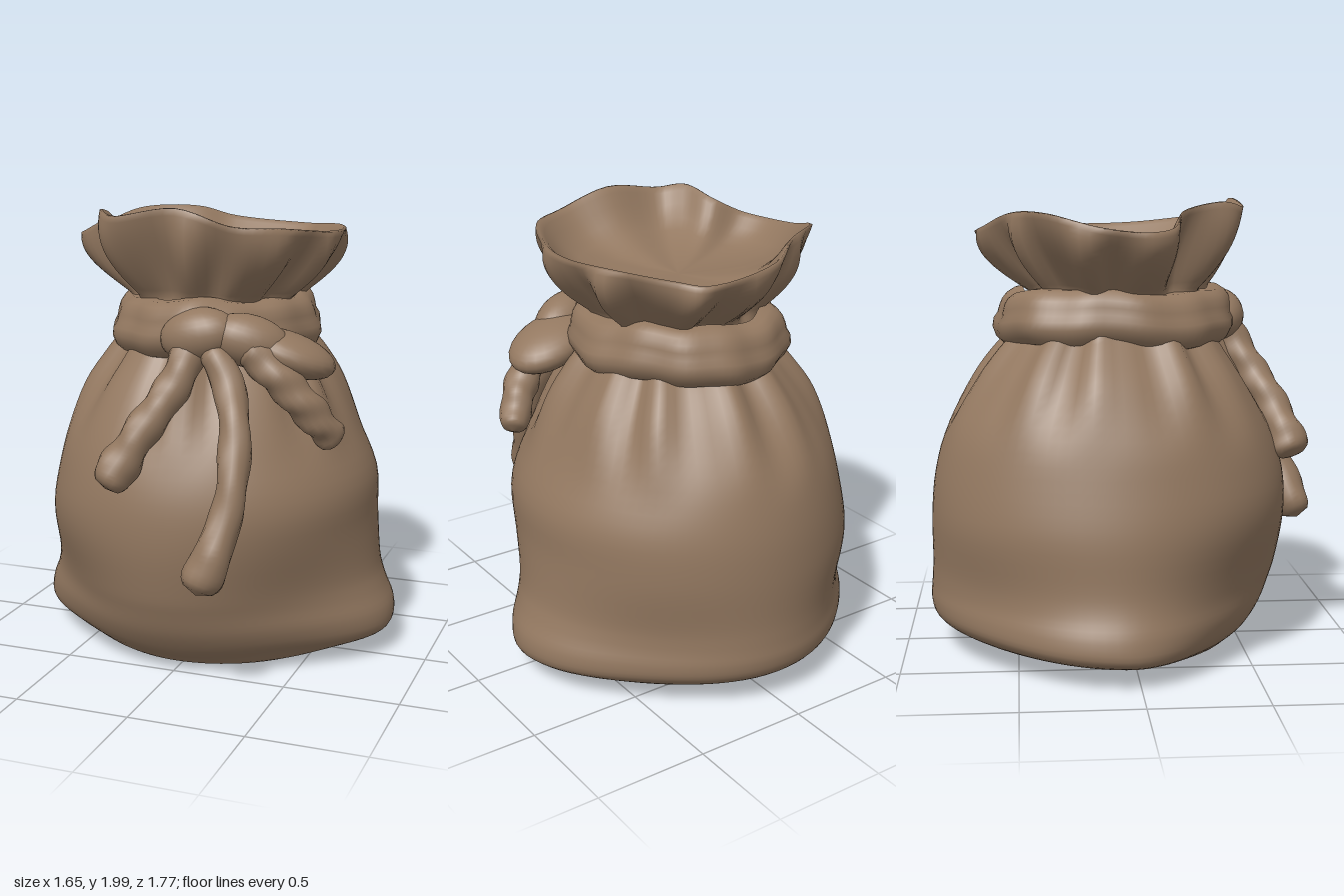
import * as THREE from 'three';

const V = (x, y, z) => new THREE.Vector3(x, y, z);
const smooth = THREE.MathUtils.smoothstep;
const N = 96;
const ZC = -0.1;

// Skins a list of closed rings (all the same length) into a smooth surface.
function loft(rings) {
  const n = rings[0].length, pos = [], idx = [];
  rings.forEach(r => r.forEach(p => pos.push(p.x, p.y, p.z)));
  for (let i = 0; i < rings.length - 1; i++) {
    for (let j = 0; j < n; j++) {
      const k = (j + 1) % n, a = i * n, b = a + n;
      idx.push(a + j, a + k, b + k, a + j, b + k, b + j);
    }
  }
  const g = new THREE.BufferGeometry();
  g.setAttribute('position', new THREE.Float32BufferAttribute(pos, 3));
  g.setIndex(idx);
  g.computeVertexNormals();
  return g;
}

// Point on an oval with separate left, right, front and back reaches.
function oval(a, y, xMin, xMax, zFront, zBack, grow = 0) {
  const s = Math.sin(a), c = Math.cos(a);
  return V(s * ((s > 0 ? xMax : -xMin) + grow), y,
    ZC + c * ((c > 0 ? zFront - ZC : ZC - zBack) + grow));
}

const angles = Array.from({ length: N }, (_, j) => j / N * Math.PI * 2);

// Body: rows of y, xMin, xMax, zFront, zBack
function bodyGeometry() {
  const rows = [
    [0, 0, 0, ZC, ZC],
    [0, -0.3, 0.3, 0.25, -0.4],
    [0.015, -0.5, 0.52, 0.42, -0.62],
    [0.06, -0.7, 0.71, 0.48, -0.8],
    [0.11, -0.81, 0.82, 0.53, -0.88],
    [0.2, -0.81, 0.83, 0.59, -0.9],
    [0.3, -0.77, 0.79, 0.63, -0.895],
    [0.4, -0.75, 0.76, 0.66, -0.89],
    [0.6, -0.74, 0.74, 0.69, -0.89],
    [0.8, -0.7, 0.73, 0.68, -0.87],
    [1.0, -0.65, 0.64, 0.62, -0.81],
    [1.2, -0.57, 0.54, 0.52, -0.68],
    [1.34, -0.47, 0.45, 0.43, -0.57],
    [1.42, -0.41, 0.39, 0.38, -0.49],
    [1.52, -0.38, 0.36, 0.34, -0.42]
  ];
  const count = (rows.length - 1) * 4, rings = [];
  for (let i = 0; i <= count; i++) {
    const f = i / 4, k = Math.min(Math.floor(f), rows.length - 2), t = f - k;
    const at = m => {
      const p = q => rows[THREE.MathUtils.clamp(q, 0, rows.length - 1)][m];
      const a = p(k - 1), b = p(k), c = p(k + 1), d = p(k + 2);
      return b + 0.5 * t * (c - a + t * (2 * a - 5 * b + 4 * c - d + t * (3 * (b - c) + d - a)));
    };
    const y = Math.max(0, at(0));
    // gathered pleats under the cord, flattened diagonals near the bottom, a slight lean
    const pleat = smooth(y, 0.9, 1.3) * 0.024;
    const low = smooth(y, 0.01, 0.1);
    const backDent = low * (1 - smooth(y, 0.2, 0.65)) * 0.055;
    const frontDent = low * (1 - smooth(y, 0.25, 0.75)) * 0.075;
    const lean = 0.03 * low * (1 - smooth(y, 0.9, 1.3));
    const tilt = 0.05 * (1 - smooth(y, 0.1, 0.3));
    rings.push(angles.map(a => {
      const dent = Math.cos(a) > 0 ? frontDent : backDent;
      const p = oval(a, y, at(1), at(2), at(3), at(4),
        pleat * (Math.sin(11 * a + 0.6) + 0.5 * Math.sin(17 * a))
        - dent * Math.pow(Math.sin(2 * a), 2) - lean * Math.pow(Math.cos(a - 0.75 * Math.PI), 3));
      p.y += tilt * Math.max(0, -p.z);
      return p;
    }));
  }
  return loft(rings);
}

// Ruffled mouth: outer wall up to an uneven rim, then a shallow hollow inside
function mouthGeometry() {
  const rim = new THREE.CatmullRomCurve3([
    [0, 1.99, 0.46], [0.25, 1.92, 0.46], [0.42, 1.91, 0.36], [0.54, 1.88, 0.1], [0.56, 1.87, -0.1],
    [0.5, 1.87, -0.33], [0.34, 1.85, -0.58], [0.25, 1.84, -0.67], [-0.12, 1.87, -0.63],
    [-0.27, 1.92, -0.53], [-0.5, 1.92, -0.38], [-0.6, 1.86, -0.15], [-0.61, 1.84, 0.05],
    [-0.54, 1.86, 0.16], [-0.41, 1.93, 0.21], [-0.37, 1.97, 0.38], [-0.28, 1.95, 0.47]
  ].map(p => V(...p)), true).getPoints(N).slice(0, N);
  const around = rim.map(p => Math.atan2(p.x, p.z - ZC));
  const rings = [];
  for (let i = 0; i <= 16; i++) {
    const t = i / 16;
    const flare = Math.sin(Math.PI / 2 * THREE.MathUtils.clamp((t - 0.17) / 0.78, 0, 1));
    rings.push(rim.map((p, j) => {
      const a = around[j];
      const fold = 0.04 * Math.sin(Math.PI * t) * (Math.sin(10 * a + 1) + 0.4 * Math.sin(17 * a) - 0.4);
      const q = oval(a, 1.52, -0.38, 0.36, 0.34, -0.42, fold).lerp(p, flare);
      q.x += Math.sin(a) * fold * flare;
      q.z += Math.cos(a) * fold * flare;
      q.y = 1.52 + (p.y - 1.52) * t;
      return q;
    }));
  }
  // inner wall and floor: scale toward the middle, drop from the rim
  [[0.98, -0.005], [0.94, 0.015], [0.88, 0.055], [0.8, 0.095], [0.7, 0.125], [0.5, 0.15], [0.25, 0.16], [0, 0.16]]
    .forEach(([s, drop]) => rings.push(rim.map(p => V(
      p.x * s, THREE.MathUtils.lerp(1.88, p.y, s * s) - drop, ZC + (p.z - ZC) * s))));
  return loft(rings);
}

// Cord band: one broad, soft roll wound around the neck
function bandGeometry() {
  const rows = [[1.35, -0.05], [1.365, 0.0], [1.39, 0.03], [1.43, 0.048], [1.465, 0.045],
    [1.49, 0.03], [1.52, 0.024], [1.55, 0.014], [1.575, -0.004], [1.595, -0.035], [1.6, -0.08]];
  return loft(rows.map(([y, g]) => angles.map(a => oval(a,
    y + 0.012 * Math.sin(3 * a + 1) + 0.006 * Math.sin(7 * a),
    -0.41, 0.4, 0.43, -0.55, g + 0.01 * Math.sin(5 * a + y * 9) + 0.005 * Math.sin(13 * a)))));
}

// Cord with a lumpy twist and a swollen, blunt end
function cordGeometry(points, radius, endRadius) {
  const curve = new THREE.CatmullRomCurve3(points.map(p => V(...p)));
  const steps = 48, sides = 14, frames = curve.computeFrenetFrames(steps);
  const rings = [];
  for (let i = 0; i <= steps; i++) {
    const t = i / steps, c = curve.getPointAt(t);
    let r = THREE.MathUtils.lerp(radius, endRadius, smooth(t, 0.72, 0.86));
    const tip = Math.max(0, (t - 0.9) / 0.1);
    r *= Math.sqrt(Math.max(0, 1 - tip * tip * tip));
    r *= Math.sqrt(Math.min(1, t * 12));
    rings.push(Array.from({ length: sides }, (_, j) => {
      const a = j / sides * Math.PI * 2;
      const w = r * (1 + 0.08 * Math.sin(2 * a + t * 26));
      return c.clone().addScaledVector(frames.normals[i], Math.cos(a) * w)
        .addScaledVector(frames.binormals[i], Math.sin(a) * w);
    }));
  }
  return loft(rings);
}

export function createModel() {
  const group = new THREE.Group();
  const cloth = new THREE.MeshStandardMaterial({ color: 0x937860 });
  cloth.name = 'brown cloth';
  const add = (name, geometry) => {
    const mesh = new THREE.Mesh(geometry, cloth);
    mesh.name = name;
    group.add(mesh);
    return mesh;
  };

  add('sackBody', bodyGeometry());
  add('ruffledMouth', mouthGeometry());
  add('cordBand', bandGeometry());

  // Hanging cord ends
  add('shortCord', cordGeometry([[0.08, 1.46, 0.43], [0.02, 1.27, 0.53], [-0.09, 1.08, 0.64], [-0.21, 0.86, 0.72]], 0.074, 0.085));
  add('longCord', cordGeometry([[0.12, 1.46, 0.43], [0.25, 1.28, 0.5], [0.32, 1.05, 0.62],
    [0.32, 0.8, 0.72], [0.23, 0.49, 0.83]], 0.066, 0.085));
  add('sideCord', cordGeometry([[0.28, 1.44, 0.4], [0.42, 1.32, 0.4], [0.54, 1.18, 0.35], [0.64, 1.02, 0.25]], 0.074, 0.066));

  // Knot and the loop pulled to the side
  const lump = (name, p, s, tilt) => {
    const mesh = add(name, new THREE.SphereGeometry(1, 24, 16));
    mesh.position.set(...p);
    mesh.scale.set(...s);
    mesh.rotation.set(0, tilt[0], tilt[1]);
  };
  lump('knot', [0.09, 1.47, 0.42], [0.17, 0.115, 0.115], [0, 0.2]);
  lump('knotFold', [0.29, 1.45, 0.37], [0.18, 0.11, 0.11], [0.4, -0.25]);
  lump('sideLoop', [0.43, 1.39, 0.27], [0.21, 0.09, 0.16], [0.3, -0.33]);

  return group;
}
